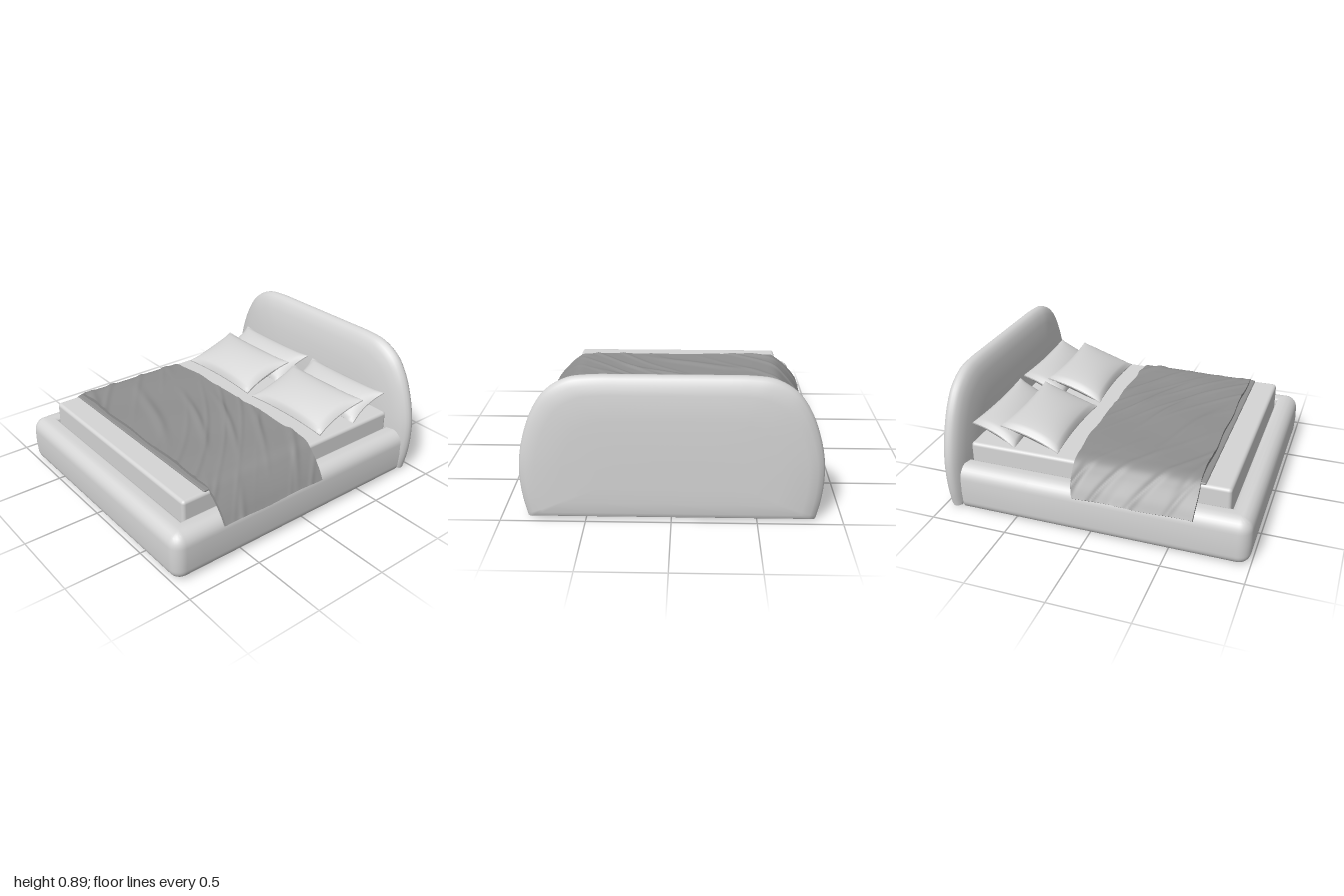
import * as THREE from 'three';
import { toCreasedNormals } from 'three/addons/utils/BufferGeometryUtils.js';
import { RoundedBoxGeometry } from 'three/addons/geometries/RoundedBoxGeometry.js';

const V = (x, y, z) => new THREE.Vector3(x, y, z);

// Skin a list of closed rings and close both ends with a fan
function loft(rings, crease) {
  const n = rings[0].length, pos = [], idx = [];
  rings.forEach(r => r.forEach(p => pos.push(p.x, p.y, p.z)));
  for (let i = 0; i < rings.length - 1; i++) {
    for (let j = 0; j < n; j++) {
      const a = i * n + j, b = i * n + (j + 1) % n;
      idx.push(a, b, b + n, a, b + n, a + n);
    }
  }
  [0, rings.length - 1].forEach(i => {
    const c = rings[i].reduce((s, p) => s.add(p), V(0, 0, 0)).divideScalar(n);
    const k = pos.push(c.x, c.y, c.z) / 3 - 1;
    for (let j = 0; j < n; j++) {
      const a = i * n + j, b = i * n + (j + 1) % n;
      if (i === 0) idx.push(k, b, a); else idx.push(k, a, b);
    }
  });
  // Turn the faces outward when the enclosed volume is negative
  const at = i => V(pos[3 * i], pos[3 * i + 1], pos[3 * i + 2]);
  let volume = 0;
  for (let i = 0; i < idx.length; i += 3) volume += at(idx[i]).dot(at(idx[i + 1]).cross(at(idx[i + 2])));
  if (volume < 0) idx.reverse();
  const g = new THREE.BufferGeometry();
  g.setAttribute('position', new THREE.Float32BufferAttribute(pos, 3));
  g.setIndex(idx);
  return toCreasedNormals(g, crease);
}

// Move every vertex of a geometry by a rule
function reshape(g, rule) {
  const p = g.attributes.position, v = V(0, 0, 0);
  for (let i = 0; i < p.count; i++) {
    v.fromBufferAttribute(p, i);
    rule(v);
    p.setXYZ(i, v.x, v.y, v.z);
  }
  g.computeVertexNormals();
  return g;
}

// Arched, softly domed headboard: insets of one outline at different depths
function headboardGeometry() {
  const half = new THREE.CatmullRomCurve3([
    [0, 0.89], [0.25, 0.89], [0.45, 0.888], [0.58, 0.87], [0.70, 0.80], [0.78, 0.69],
    [0.84, 0.54], [0.876, 0.38], [0.882, 0.25], [0.87, 0.12], [0.845, 0.003],
  ].map(p => V(p[0], p[1], 0))).getPoints(50);
  const outline = [...half, ...half.slice(1).reverse().map(p => V(-p.x, p.y, 0))];
  const depths = [
    [0.45, -1], [0.25, -0.998], [0.1, -0.988], [0.045, -0.975], [0.015, -0.957], [0.003, -0.94], [0, -0.925],
    [0.003, -0.908], [0.015, -0.89], [0.045, -0.87], [0.1, -0.85], [0.22, -0.83], [0.35, -0.82], [0.45, -0.817],
  ];
  const cy = 0.38;
  return loft(depths.map(([d, z]) => outline.map(p =>
    V(p.x * (1 - d / 0.88), cy + (p.y - cy) * (1 - d / (p.y > cy ? 0.51 : 0.8)), z))), 1.0);
}

// U-shaped padded rail: a rounded section swept round the two front corners
function railGeometry() {
  const section = [];
  const arc = (d, y, rd, ry, a0, a1) => {
    for (let i = 0; i <= 8; i++) {
      const a = (a0 + (a1 - a0) * i / 8) * Math.PI / 180;
      section.push([d - rd * Math.cos(a), y + ry * Math.sin(a)]);
    }
  };
  arc(0.065, 0.07, 0.06, 0.066, -90, 0);
  section.push([0, 0.14]);
  arc(0.085, 0.225, 0.083, 0.087, 0, 90);
  arc(0.12, 0.295, 0.02, 0.015, 90, 180);
  arc(0.1, 0.044, 0.04, 0.04, 180, 270);
  const hx = 0.87, front = 0.997, r = 0.08, rings = [];
  const station = (side, a, z) => rings.push(section.map(([d, y]) => {
    const rd = Math.max(r - d, 0), inset = Math.max(d, r);
    return z !== undefined ? V(side * (hx - d), y, z)
      : V(side * (hx - inset + rd * Math.cos(a)), y, front - inset + rd * Math.sin(a));
  }));
  const zs = [-0.855, -0.4, 0, 0.4, 0.8];
  zs.forEach(z => station(1, 0, z));
  for (let i = 0; i <= 8; i++) station(1, i * Math.PI / 16);
  for (let i = 8; i >= 0; i--) station(-1, i * Math.PI / 16);
  zs.reverse().forEach(z => station(-1, 0, z));
  return loft(rings, 0.7);
}

// Pillow with pinched seams and pulled-out corners
function pillowGeometry(width, length, thick) {
  return reshape(new THREE.BoxGeometry(2, 2, 2, 28, 1, 20), v => {
    const { x: u, z: w } = v, eu = 1 - u * u, ew = 1 - w * w;
    const puff = Math.pow(Math.max(eu * ew, 0), 0.5);
    v.x = u * width / 2 * (1 - 0.08 * ew);
    v.z = w * length / 2 * (1 - 0.08 * eu);
    v.y = v.y * (0.004 + thick / 2 * puff);
  });
}

// Draped throw: a thin slab bent over the mattress and rumpled with diagonal folds
function throwGeometry() {
  const drape = new THREE.CatmullRomCurve3([
    [0, 0.447], [0.3, 0.447], [0.6, 0.447], [0.70, 0.438], [0.765, 0.395], [0.835, 0.328], [0.882, 0.268],
  ].map(p => V(p[0], p[1], 0)));
  const fold = (s, k) => Math.pow(0.5 + 0.5 * Math.sin(s), k);
  const rumple = (x, z) => {
    const warp = 0.9 * Math.sin(3 * x + 1) + 0.7 * Math.sin(5 * z - 2 * x);
    return 0.012 * fold(24 * z - 13 * x + 2 * warp, 9) * (0.5 + 0.5 * Math.sin(4 * x + 5 * z))
      + 0.008 * fold(35 * z - 30 * x + 3 * warp, 10) * (0.5 + 0.5 * Math.sin(6 * x - 4 * z + 1))
      + 0.002 * Math.sin(11 * x + 6 * z);
  };
  return reshape(new THREE.BoxGeometry(2, 2, 2, 160, 1, 100), v => {
    const s = Math.min(Math.abs(v.x), 1), side = Math.sign(v.x), t = v.z;
    const p = drape.getPointAt(s), tan = drape.getTangentAt(s);
    const back = -0.145 + 0.05 * s ** 4 + 0.004 * Math.sin(v.x * 17);
    const front = 0.657 + 0.004 * Math.sin(v.x * 13);
    const z = back + (front - back) * (t + 1) / 2;
    const off = v.y * 0.010 + rumple(side * p.x, z) * (v.y > 0 ? 1 : 0.4);
    v.set(side * (p.x - tan.y * off), p.y + tan.x * off + 0.004 * s ** 6 * Math.sin(z * 14), z);
  });
}

export function createModel() {
  const model = new THREE.Group();
  model.name = 'bed';
  const material = (name, color) => {
    const m = new THREE.MeshStandardMaterial({ color });
    m.name = name;
    return m;
  };
  const light = material('light grey fabric', 0xd5d5d5);
  const dark = material('mid grey', 0x909090);
  const add = (name, geometry, mat, x = 0, y = 0, z = 0) => {
    const m = new THREE.Mesh(geometry, mat);
    m.name = name;
    m.position.set(x, y, z);
    model.add(m);
    return m;
  };

  add('headboard', headboardGeometry(), light);
  add('sideAndFootRail', railGeometry(), light);
  add('mattress', new RoundedBoxGeometry(1.47, 0.226, 1.68, 4, 0.022), light, 0, 0.317, 0.005);
  add('throw', throwGeometry(), dark);
  add('throwUnderLayer', new RoundedBoxGeometry(1.45, 0.018, 0.08, 2, 0.008), dark, 0, 0.43, 0.65);

  // Two pillows on each side, the rear one leaning on the headboard
  const frontPillow = pillowGeometry(0.67, 0.40, 0.135);
  const rearPillow = pillowGeometry(0.68, 0.31, 0.13);
  for (const side of [-1, 1]) {
    add('frontPillow', frontPillow, light, side * 0.36, 0.502, -0.445).rotation.x = 0.32;
    add('rearPillow', rearPillow, light, side * 0.365, 0.492, -0.685).rotation.x = 0.45;
  }

  // Slatted underside
  const slat = new THREE.BoxGeometry(1.47, 0.02, 0.11);
  for (let i = 0; i < 14; i++) add('slat', slat, light, 0, 0.195, -0.77 + i * 0.116);

  // Support legs near the foot end
  const stem = new THREE.CylinderGeometry(0.014, 0.014, 0.17, 16);
  const foot = new THREE.CylinderGeometry(0.03, 0.03, 0.02, 20);
  for (const x of [-0.6, 0.6]) {
    add('legStem', stem, light, x, 0.105, 0.75);
    add('legFoot', foot, dark, x, 0.01, 0.75);
  }
  return model;
}
